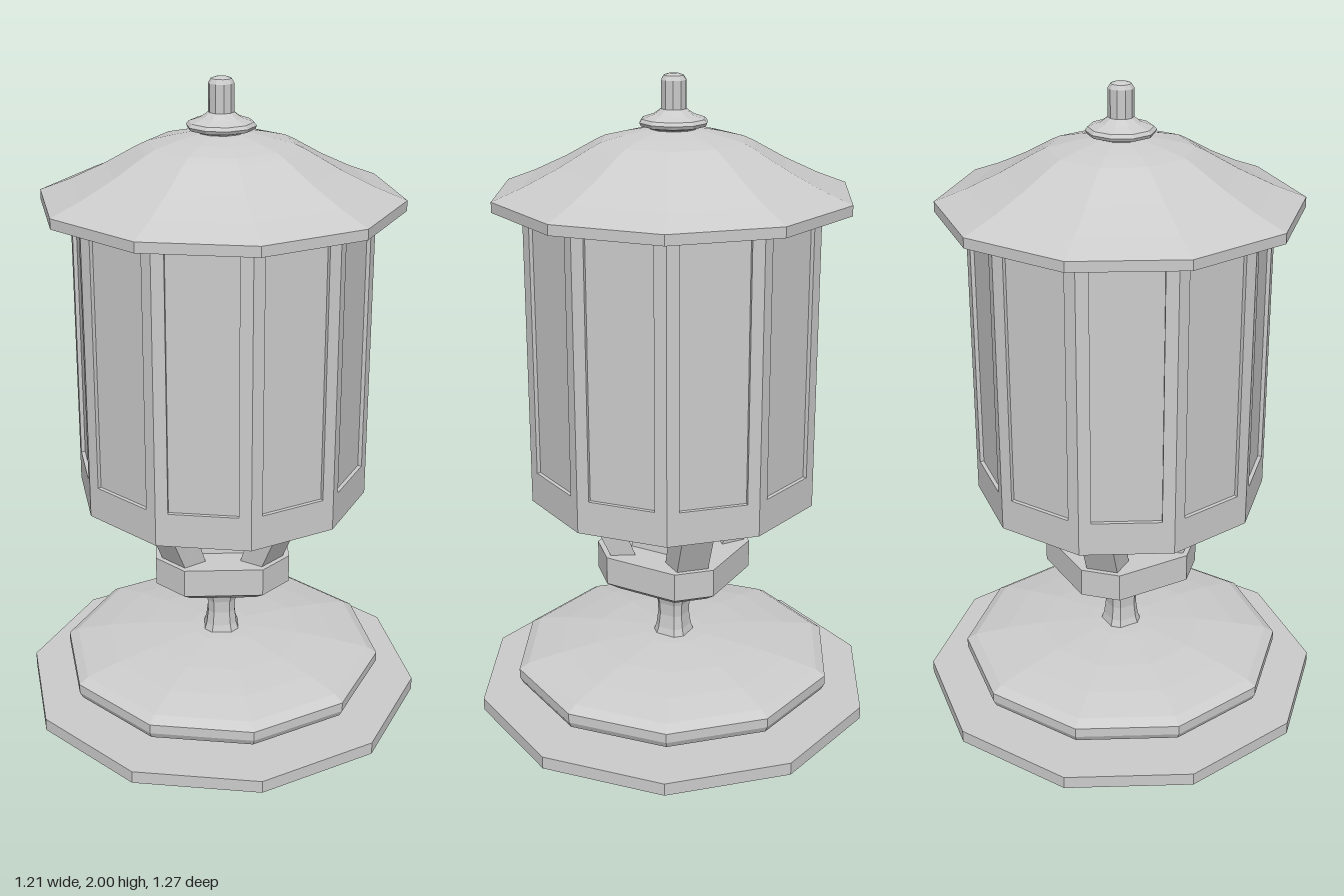
import * as THREE from 'three';

const mat = new THREE.MeshStandardMaterial({ color: 0xcccccc, flatShading: true });

function add(parent, geometry, name) {
  const mesh = new THREE.Mesh(geometry, mat);
  mesh.name = name;
  parent.add(mesh);
  return mesh;
}

// Profile of [radius, height] from bottom to top, turned with few sides
function turned(profile, sides = 10, start = 0) {
  return new THREE.LatheGeometry(profile.map(([r, y]) => new THREE.Vector2(r, y)), sides, start);
}

// Square on its corner with cut corners: octagon vertices drawn towards the axes
function cutSquare(profile) {
  const g = turned(profile, 8, Math.PI / 8);
  const p = g.attributes.position, q = Math.PI / 2;
  for (let i = 0; i < p.count; i++) {
    const r = Math.hypot(p.getX(i), p.getZ(i));
    const a = Math.atan2(p.getX(i), p.getZ(i));
    const axis = Math.round(a / q) * q;
    const b = axis + (a - axis) * 0.66;
    p.setX(i, r * Math.sin(b));
    p.setZ(i, r * Math.cos(b));
  }
  g.computeVertexNormals();
  return g;
}

// Slanted leg: a box whose ends follow the given inner and outer radii
function legGeometry(y0, y1) {
  const g = new THREE.BoxGeometry(1, 1, 1);
  const p = g.attributes.position;
  for (let i = 0; i < p.count; i++) {
    const top = p.getY(i) > 0, outer = p.getZ(i) > 0;
    p.setXYZ(i,
      Math.sign(p.getX(i)) * (outer ? 0.05 : 0.066),
      top ? y1 : y0,
      top ? (outer ? 0.31 : 0.217) : (outer ? 0.215 : 0.14));
  }
  g.computeVertexNormals();
  return g;
}

export function createModel() {
  const model = new THREE.Group();
  model.name = 'postLantern';

  // Foot
  add(model, turned([[0, 0], [0.635, 0], [0.635, 0.04], [0, 0.04]]), 'basePlate');
  add(model, turned([
    [0.405, 0.04], [0.405, 0.065], [0.47, 0.068], [0.505, 0.08], [0.515, 0.1],
    [0.515, 0.13], [0.485, 0.148], [0.38, 0.17], [0.26, 0.188], [0.1, 0.202], [0, 0.205],
  ]), 'baseDome');

  // Stem and cup
  add(model, cutSquare([
    [0.066, 0.195], [0.056, 0.225], [0.05, 0.27], [0.052, 0.31], [0.062, 0.345],
    [0.09, 0.357], [0.15, 0.378], [0.2, 0.402], [0.243, 0.43], [0.243, 0.52], [0, 0.52],
  ]), 'stemAndCup');

  // Supports under the lantern
  const supports = new THREE.Group();
  supports.name = 'supports';
  model.add(supports);
  const core = add(supports, new THREE.CylinderGeometry(0.11, 0.14, 0.21, 4), 'core');
  core.position.y = 0.62;
  const leg = legGeometry(0.51, 0.72);
  for (let i = 0; i < 4; i++) {
    add(supports, leg, 'leg').rotation.y = i * Math.PI / 2;
  }

  // Lantern body: recessed panes inside framed faces
  const body = new THREE.Group();
  body.name = 'lanternBody';
  model.add(body);
  const R = 0.453, depth = 0.012, y0 = 0.715, y1 = 1.63;
  const apothem = R * Math.cos(Math.PI / 10), half = R * Math.sin(Math.PI / 10);
  const inner = R - depth / Math.cos(Math.PI / 10);
  add(body, turned([[0, y0], [inner, y0], [inner, y1], [0, y1]]), 'panes');
  const w = half - 0.037;
  const face = new THREE.Shape([
    [-half, y0], [half, y0], [half, y1], [-half, y1],
  ].map(([x, y]) => new THREE.Vector2(x, y)));
  face.holes.push(new THREE.Path([
    [-w, 0.82], [-w, 1.615], [w, 1.615], [w, 0.82],
  ].map(([x, y]) => new THREE.Vector2(x, y))));
  const frame = new THREE.ExtrudeGeometry(face, { depth, bevelEnabled: false });
  frame.translate(0, 0, apothem - depth);
  for (let i = 0; i < 10; i++) {
    add(body, frame, 'paneFrame').rotation.y = (i + 0.5) * Math.PI / 5;
  }

  // Roof
  add(model, turned([
    [0, 1.625], [0.542, 1.625], [0.542, 1.656], [0.45, 1.692], [0.345, 1.742],
    [0.245, 1.798], [0.215, 1.812], [0.15, 1.828], [0.08, 1.842], [0, 1.845],
  ]), 'roof');

  // Finial
  add(model, turned([
    [0.065, 1.835], [0.07, 1.845], [0.098, 1.852], [0.103, 1.862], [0.095, 1.872],
    [0.06, 1.884], [0.038, 1.9], [0.038, 1.982], [0.03, 1.995], [0.015, 2], [0, 2],
  ]), 'finial');

  return model;
}
